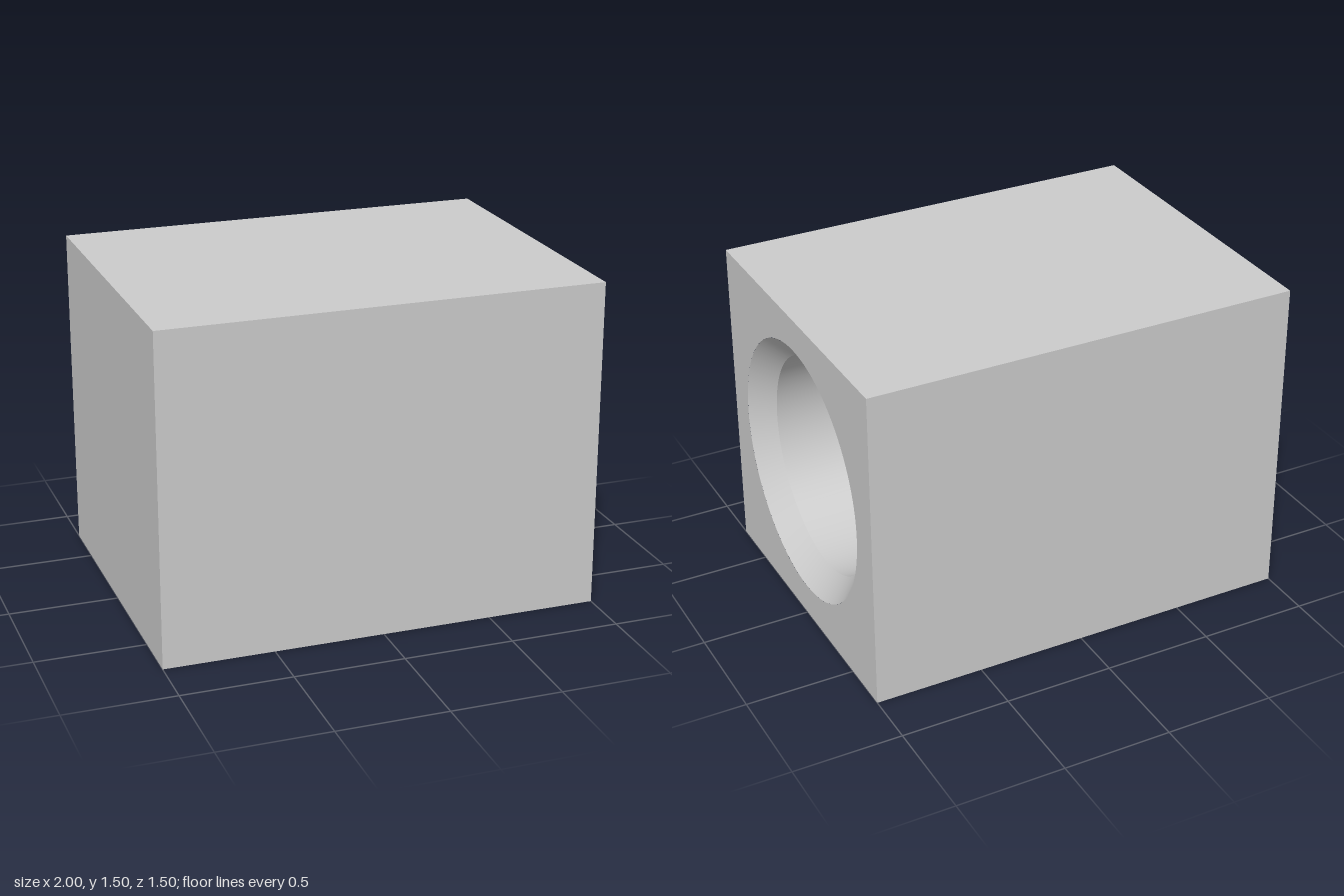
import * as THREE from 'three';
import { toCreasedNormals } from 'three/addons/utils/BufferGeometryUtils.js';

const SEG = 64;
const CENTER_Y = 0.75;
const FLOOR_X = -0.2;

export function createModel() {
  const model = new THREE.Group();
  const material = new THREE.MeshStandardMaterial({ color: 0xcccccc });

  function add(name, geometry, x, y, z, parent = model) {
    const mesh = new THREE.Mesh(geometry, material);
    mesh.name = name;
    mesh.position.set(x, y, z);
    parent.add(mesh);
    return mesh;
  }

  // Block without its +x side, which is replaced by the pierced face
  const block = new THREE.BoxGeometry(2, 1.5, 1.5);
  block.setIndex(Array.from(block.index.array).slice(6));
  block.clearGroups();
  add('housing', block, 0, CENTER_Y, 0);

  // Square face with the round opening
  const face = new THREE.Shape([
    new THREE.Vector2(-0.75, -0.75), new THREE.Vector2(0.75, -0.75),
    new THREE.Vector2(0.75, 0.75), new THREE.Vector2(-0.75, 0.75),
  ]);
  face.holes.push(new THREE.Path().absarc(0, 0, 0.6, 0, Math.PI * 2, true));
  add('socketFace', new THREE.ShapeGeometry(face, SEG), 1, CENTER_Y, 0).rotation.y = Math.PI / 2;

  // Bore: mouth chamfer, straight wall, floor chamfer and floor
  const profile = [
    [0.6, 1], [0.5, 0.9], [0.5, FLOOR_X + 0.1], [0.4, FLOOR_X], [0, FLOOR_X],
  ].map(([r, h]) => new THREE.Vector2(r, h));
  const bore = toCreasedNormals(new THREE.LatheGeometry(profile, SEG), Math.PI / 6);
  add('socketBore', bore, 0, CENTER_Y, 0).rotation.z = -Math.PI / 2;

  // Round contacts on the floor, each with a raised polarity mark
  function contact(name, z) {
    const group = new THREE.Group();
    group.name = name;
    group.position.set(FLOOR_X, CENTER_Y, z);
    model.add(group);
    const disc = new THREE.CylinderGeometry(0.1, 0.1, 0.05, 48);
    add(name + 'Disc', disc, 0.025, 0, 0, group).rotation.z = -Math.PI / 2;
    return group;
  }

  const negative = contact('negativeContact', 0.2);
  add('minusMark', new THREE.BoxGeometry(0.02, 0.04, 0.12), 0.06, -0.016, 0.005, negative);

  // Cross outline extruded towards +x
  const positive = contact('positiveContact', -0.2);
  const a = 0.0625, b = 0.0125;
  const cross = new THREE.Shape([
    [a, -b], [a, b], [b, b], [b, a], [-b, a], [-b, b],
    [-a, b], [-a, -b], [-b, -b], [-b, -a], [b, -a], [b, -b],
  ].map(([x, y]) => new THREE.Vector2(x, y)));
  const plus = new THREE.ExtrudeGeometry(cross, { depth: 0.02, bevelEnabled: false });
  add('plusMark', plus, 0.05, 0, 0, positive).rotation.y = Math.PI / 2;

  return model;
}
